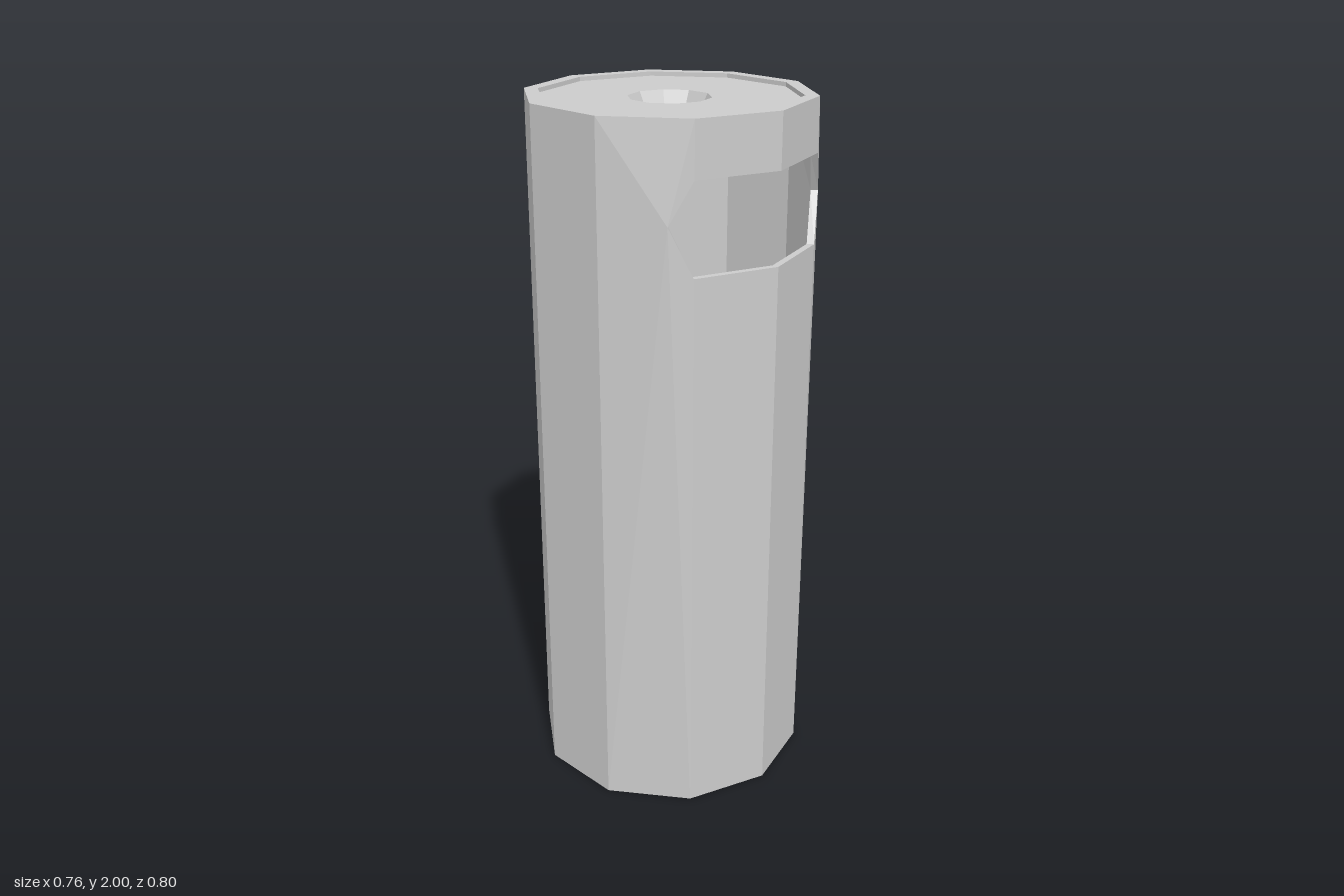
import * as THREE from 'three';

const SIDES = 10, OUTER = 0.4, INNER = 0.38;
const SILL = 1.6, HEAD = 1.85;      // window bottom and top
const PEAK = [0.29, 1.735, 0.285];  // pointed side corner of the window

// Corner i of the decagon, counted from the front towards +x
const corner = (i, r, y) => {
  const a = (i * Math.PI * 2) / SIDES;
  return [Math.sin(a) * r, y, Math.cos(a) * r];
};
const peak = (r, side) => [side * PEAK[0] * r / OUTER, PEAK[1], PEAK[2] * r / OUTER];

// Turn convex polygons (fans around their first point) into a flat-faced geometry
function facesGeometry(polys, flip = false) {
  const pos = [];
  for (const p of polys) {
    for (let i = 1; i < p.length - 1; i++) {
      const tri = flip ? [p[0], p[i + 1], p[i]] : [p[0], p[i], p[i + 1]];
      for (const v of tri) pos.push(...v);
    }
  }
  const g = new THREE.BufferGeometry();
  g.setAttribute('position', new THREE.Float32BufferAttribute(pos, 3));
  g.computeVertexNormals();
  return g;
}

// Decagonal wall with the window left open at the front
function wallPolys(r, y0, y1) {
  const quad = (i, a, b) => [corner(i, r, a), corner(i + 1, r, a), corner(i + 1, r, b), corner(i, r, b)];
  const polys = [];
  for (let i = 2; i < SIDES - 2; i++) polys.push(quad(i, y0, y1));
  for (const i of [-1, 0]) polys.push(quad(i, y0, SILL), quad(i, HEAD, y1));
  for (const s of [1, -1]) {
    const fan = [
      corner(s, r, SILL), corner(s, r, y0), corner(2 * s, r, y0),
      corner(2 * s, r, y1), corner(s, r, y1), corner(s, r, HEAD),
    ];
    if (s < 0) fan.reverse();
    polys.push([peak(r, s), ...fan]);
  }
  return polys;
}

// Outline of the window, anticlockwise from the front
const windowLoop = (r) => [
  corner(-1, r, SILL), corner(0, r, SILL), corner(1, r, SILL), peak(r, 1),
  corner(1, r, HEAD), corner(0, r, HEAD), corner(-1, r, HEAD), peak(r, -1),
];

function turned(points) {
  const g = new THREE.LatheGeometry(points.map(([x, y]) => new THREE.Vector2(x, y)), SIDES).toNonIndexed();
  g.computeVertexNormals();
  return g;
}

export function createModel() {
  const grey = new THREE.MeshStandardMaterial({ color: 0xcccccc });
  grey.name = 'grey';
  const model = new THREE.Group();
  model.name = 'canister';
  const add = (name, geometry) => {
    const mesh = new THREE.Mesh(geometry, grey);
    mesh.name = name;
    model.add(mesh);
  };

  // Body shell
  add('outerWall', facesGeometry(wallPolys(OUTER, 0, 2)));
  add('innerWall', facesGeometry(wallPolys(INNER, 0.02, 1.92), true));

  // Thickness of the wall around the window
  const a = windowLoop(OUTER), b = windowLoop(INNER);
  add('windowRim', facesGeometry(a.map((p, i) => {
    const j = (i + 1) % a.length;
    return [p, a[j], b[j], b[i]];
  })));

  // Raised rim, sunken lid and the small stepped pit in its middle
  add('lid', turned([
    [0.4, 2], [0.361, 2], [0.361, 1.988], [0.115, 1.988],
    [0.1, 1.958], [0.095, 1.948], [0, 1.948],
  ]));
  add('base', turned([[0, 0], [OUTER, 0]]));

  // Inside of the hollow body
  add('cavityCeiling', turned([[0, 1.92], [INNER, 1.92]]));
  add('cavityFloor', turned([[INNER, 0.02], [0, 0.02]]));
  return model;
}
